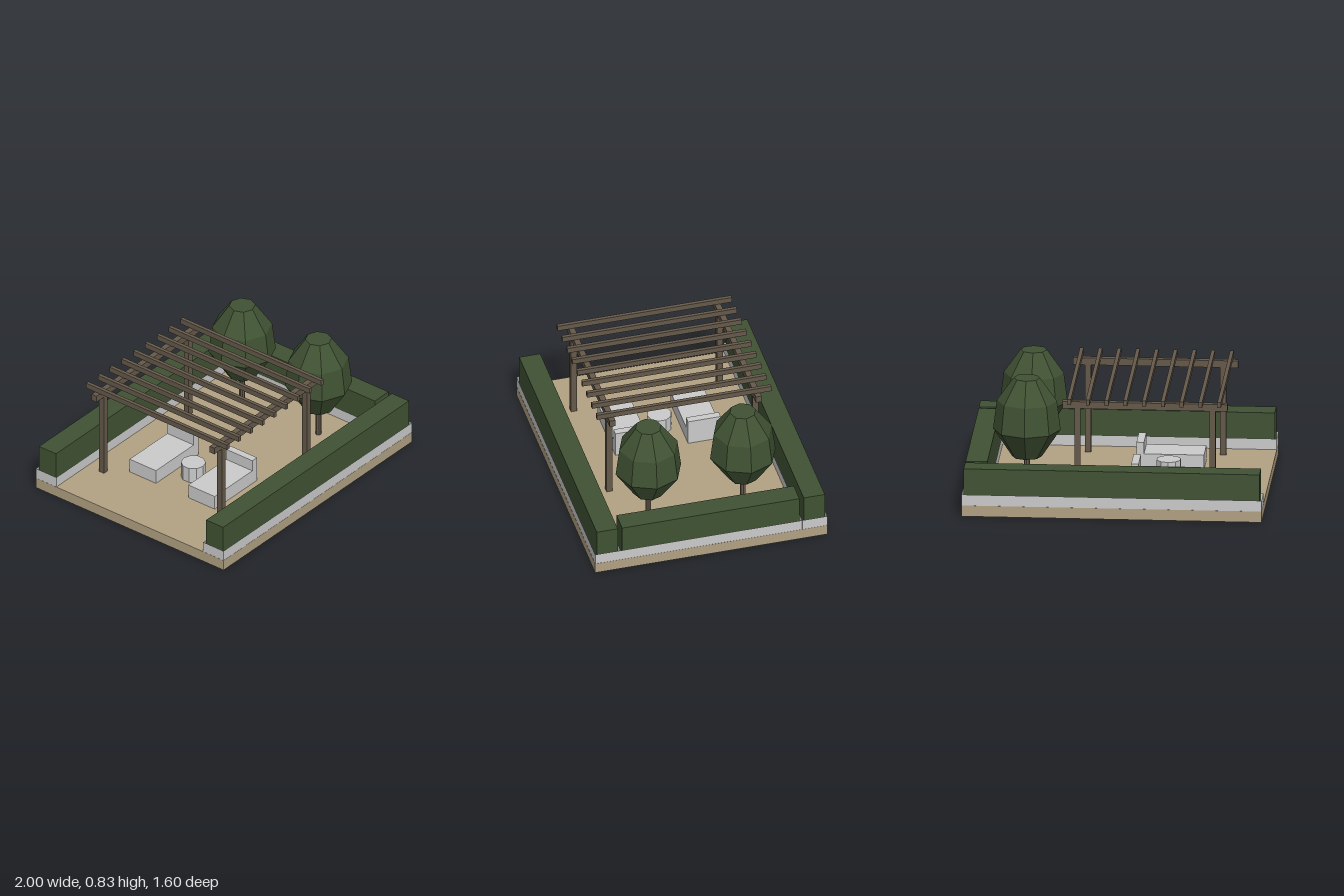
import * as THREE from 'three';

const material = (name, color) => {
  const m = new THREE.MeshStandardMaterial({ color, side: THREE.DoubleSide, flatShading: true });
  m.name = name;
  return m;
};

export function createModel() {
  const model = new THREE.Group();
  model.name = 'gardenTerrace';

  const paving = material('sandPaving', 0xb2a183);
  const stone = material('paleStone', 0xcbcbcc);
  const leaf = material('darkLeaf', 0x405233);
  const wood = material('weatheredWood', 0x65594a);

  const add = (name, geometry, mat, parent = model) => {
    const mesh = new THREE.Mesh(geometry, mat);
    mesh.name = name;
    parent.add(mesh);
    return mesh;
  };
  const group = (name) => {
    const g = new THREE.Group();
    g.name = name;
    model.add(g);
    return g;
  };

  // Box given by its limits; dropped faces are 0 +x, 1 -x, 2 +y, 3 -y, 4 +z, 5 -z
  const box = (name, [x0, x1], [y0, y1], [z0, z1], mat, parent, drop = []) => {
    const g = new THREE.BoxGeometry(x1 - x0, y1 - y0, z1 - z0);
    if (drop.length) {
      const index = Array.from(g.index.array);
      g.setIndex(index.filter((v, i) => !drop.includes(Math.floor(i / 6))));
      g.clearGroups();
    }
    g.translate((x0 + x1) / 2, (y0 + y1) / 2, (z0 + z1) / 2);
    return add(name, g, mat, parent);
  };
  const around = (c, size) => [c - size / 2, c + size / 2];

  const floor = 0.075;

  // Terrace, hollow underneath
  box('terrace', [-1, 1], [0, floor], [-0.8, 0.8], paving, model, [3]);

  // Planters: open walls on three sides, each holding a clipped hedge
  const planters = [
    ['front', [-1, 1], [0.625, 0.8]],
    ['back', [-1, 1], [-0.8, -0.625]],
    ['left', [0.825, 1], [-0.625, 0.625]],
  ];
  for (const [side, x, z] of planters) {
    const g = group(side + 'Planter');
    const inset = ([a, b], d) => [a + d, b - d];
    box(side + 'PlanterWalls', inset(x, 0.001), [0.001, 0.15], inset(z, 0.001), stone, g, [2, 3]);
    box(side + 'Hedge', inset(x, 0.015), [floor + 0.005, 0.325], inset(z, 0.015), leaf, g);
  }

  // Pergola: two beams on four posts, crossed by nine rafters
  const pergola = group('pergola');
  for (const z of [-0.503, 0.503]) {
    for (const x of [-0.653, 0.247])
      box('post', around(x, 0.04), [floor, 0.68], around(z, 0.04), wood, pergola);
    box('beam', [-0.753, 0.347], [0.68, 0.728], around(z, 0.04), wood, pergola);
  }
  for (let i = 0; i < 9; i++)
    box('rafter', around(-0.703 + i * 0.125, 0.025), [0.727, 0.765], [-0.6, 0.6], wood, pergola);

  // Two loungers with an upright back
  for (const z of [-0.25, 0.25]) {
    const lounger = group('lounger');
    box('seat', [-0.55, -0.15], [floor - 0.001, 0.175], around(z, 0.225), stone, lounger);
    box('backrest', [-0.15, -0.1], [floor - 0.001, 0.255], around(z, 0.225), stone, lounger);
  }

  // Round table
  const table = add('table', new THREE.CylinderGeometry(0.083, 0.083, 0.11, 10), stone);
  table.position.set(-0.325, floor + 0.055, 0);

  // Trees: faceted crown on a slim trunk
  const crownProfile = [[0, 0.285], [0.1, 0.285], [0.225, 0.473], [0.2, 0.67], [0.088, 0.828], [0, 0.828]]
    .map(([r, y]) => new THREE.Vector2(r, y));
  for (const z of [-0.325, 0.325]) {
    const tree = group('tree');
    const trunk = add('trunk', new THREE.CylinderGeometry(0.02, 0.02, 0.24, 8), wood, tree);
    trunk.position.y = floor + 0.12;
    add('crown', new THREE.LatheGeometry(crownProfile, 8), leaf, tree);
    tree.position.set(0.597, 0, z);
  }

  return model;
}
